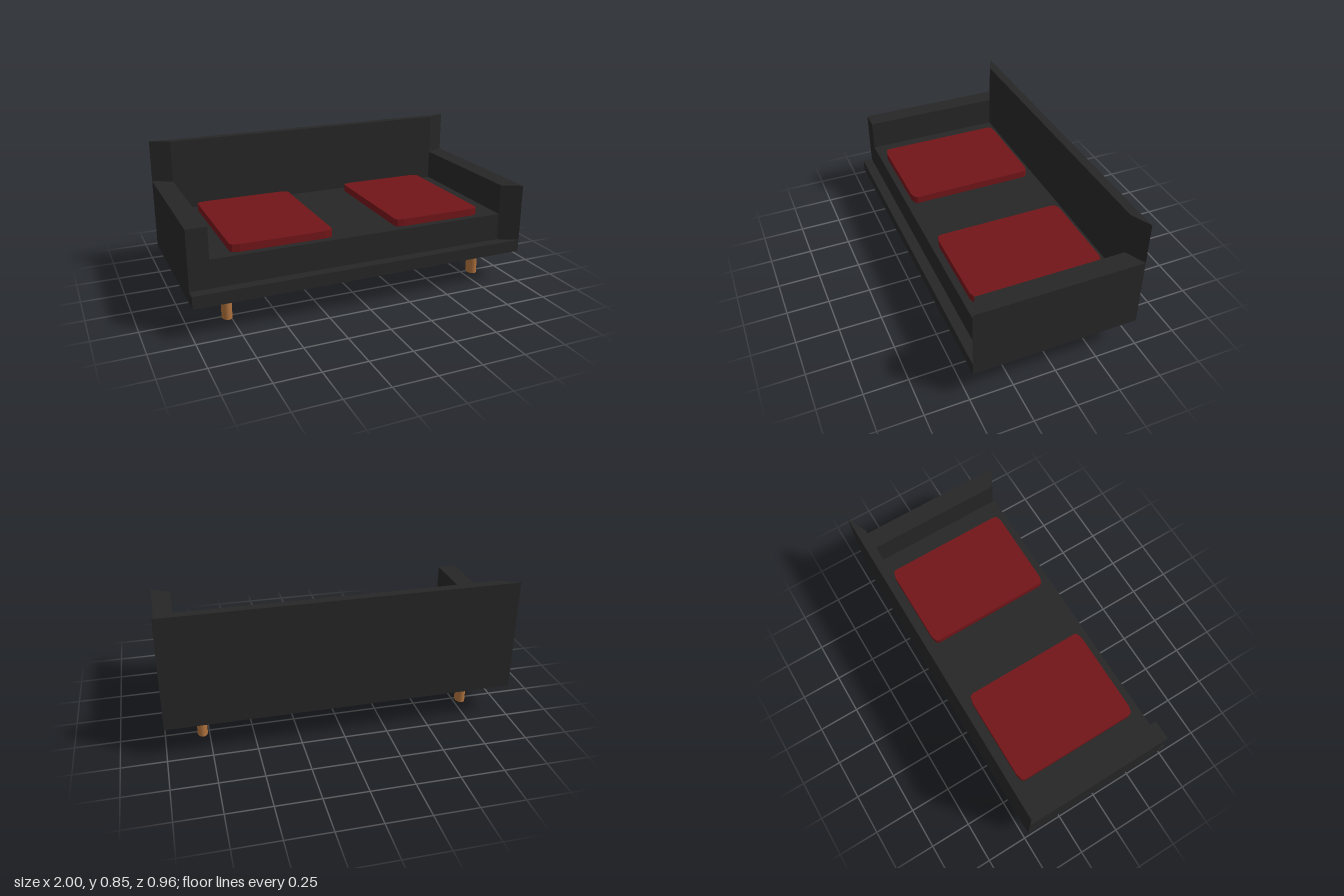
import * as THREE from 'three';

const fabric = new THREE.MeshStandardMaterial({ color: 0x262626, flatShading: true });
const red = new THREE.MeshStandardMaterial({ color: 0x721518, flatShading: true });
const wood = new THREE.MeshStandardMaterial({ color: 0xac703c });

// Upright prism from a plan outline of [x, z] points, between two heights
function slab(name, outline, y0, y1, material) {
  const shape = new THREE.Shape(outline.map(([x, z]) => new THREE.Vector2(x, -z)));
  const geometry = new THREE.ExtrudeGeometry(shape, { depth: y1 - y0, bevelEnabled: false });
  geometry.rotateX(-Math.PI / 2);
  geometry.translate(0, y0, 0);
  const mesh = new THREE.Mesh(geometry, material);
  mesh.name = name;
  return mesh;
}

const rect = (x0, x1, z0, z1) => [[x0, z1], [x1, z1], [x1, z0], [x0, z0]];

// Rectangle with clipped, slightly rounded corners
function cushionOutline(x0, x1, z0, z1) {
  const cx = (x0 + x1) / 2, cz = (z0 + z1) / 2;
  const hx = (x1 - x0) / 2, hz = (z1 - z0) / 2;
  const corner = [[1, 0.93], [0.965, 0.975], [0.83, 1]];
  const points = [];
  for (const [sx, sz] of [[1, 1], [-1, 1], [-1, -1], [1, -1]]) {
    const run = sx * sz > 0 ? corner : [...corner].reverse();
    for (const [u, v] of run) points.push([cx + sx * hx * u, cz + sz * hz * v]);
  }
  return points;
}

export function createModel() {
  const sofa = new THREE.Group();
  sofa.name = 'sofa';

  const inner = 0.885, back = -0.48, backFront = -0.427, seatFront = 0.42, front = 0.48;

  // Base plinth and seat block
  sofa.add(slab('base', rect(-1, 1, back, front), 0.19, 0.262, fabric));
  sofa.add(slab('seat', rect(-inner, inner, backFront, seatFront), 0.262, 0.425, fabric));

  // Backrest, tapering to its rear edge at both ends
  sofa.add(slab('backrest',
    [[-inner, backFront], [inner, backFront], [1, back], [-1, back]], 0.262, 0.85, fabric));

  // Arms: the left one has a slanted front end, the right one is square
  sofa.add(slab('leftArm',
    [[inner, seatFront], [1, front], [1, back], [inner, backFront]], 0.262, 0.605, fabric));
  sofa.add(slab('rightArm',
    [[-1, seatFront], [-inner, seatFront], [-inner, backFront], [-1, back]], 0.262, 0.605, fabric));

  // Loose seat cushions
  sofa.add(slab('rightCushion', cushionOutline(-0.76, -0.175, -0.385, 0.38), 0.42, 0.468, red));
  sofa.add(slab('leftCushion', cushionOutline(0.215, 0.76, -0.385, 0.38), 0.42, 0.468, red));

  // Four oval corner legs and a longer central one: x, z, bottom
  const legs = [
    ['frontRightLeg', -0.78, 0.303, 0.022], ['frontLeftLeg', 0.79, 0.303, 0.022],
    ['backRightLeg', -0.78, -0.3, 0.022], ['backLeftLeg', 0.79, -0.3, 0.022],
    ['centreLeg', -0.005, 0, 0],
  ];
  for (const [name, x, z, bottom] of legs) {
    const height = 0.195 - bottom;
    const leg = new THREE.Mesh(new THREE.CylinderGeometry(1, 1, height, 20), wood);
    leg.scale.set(0.029, 1, 0.041);
    leg.position.set(x, bottom + height / 2, z);
    leg.name = name;
    sofa.add(leg);
  }
  return sofa;
}
